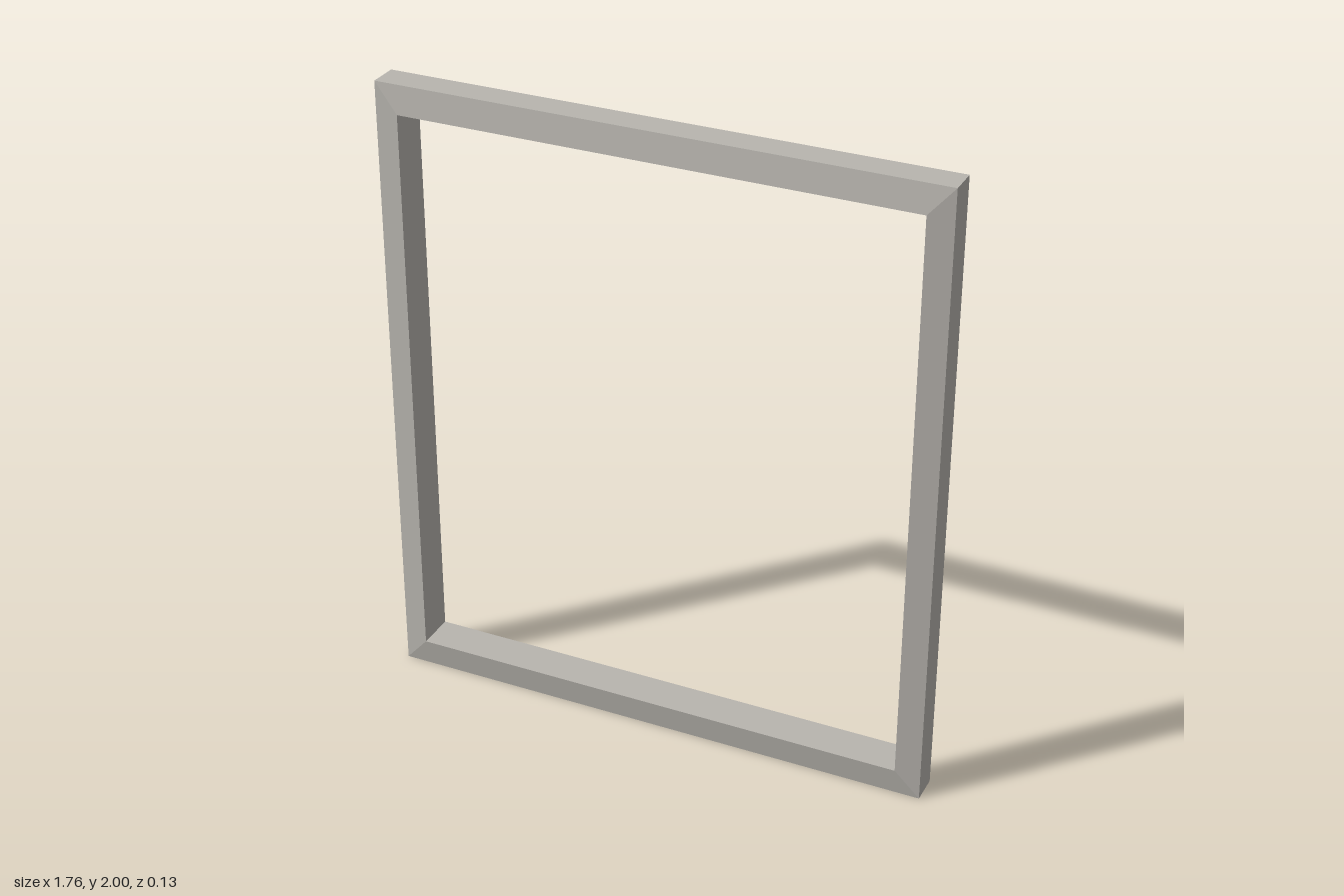
import * as THREE from 'three';

const HEIGHT = 2;
const OUTER = { x: 0.882, y: 1.0 };
const INNER = { x: 0.805, y: 0.912 };

// Four corners of a rectangle at depth z, anticlockwise seen from the front
function ring(size, z) {
  return [[-1, -1], [1, -1], [1, 1], [-1, 1]].map(
    ([sx, sy]) => [sx * size.x, HEIGHT / 2 + sy * size.y, z]);
}

// Flat mitred quads joining two rectangular rings
function band(name, from, to, material) {
  const positions = [];
  for (let i = 0; i < 4; i++) {
    const j = (i + 1) % 4;
    positions.push(...from[i], ...from[j], ...to[j], ...from[i], ...to[j], ...to[i]);
  }
  const geometry = new THREE.BufferGeometry();
  geometry.setAttribute('position', new THREE.Float32BufferAttribute(positions, 3));
  geometry.computeVertexNormals();
  const mesh = new THREE.Mesh(geometry, material);
  mesh.name = name;
  return mesh;
}

export function createModel() {
  const group = new THREE.Group();
  group.name = 'windowFrame';

  const grey = new THREE.MeshStandardMaterial({ color: 0xb8b5af, side: THREE.DoubleSide });
  grey.name = 'warm grey';

  const outerBack = ring(OUTER, -0.045);
  const outerFront = ring(OUTER, 0.05);
  const innerFront = ring(INNER, 0.063);
  const innerBack = ring(INNER, -0.063);

  // Thin sheet trim, hollow and open at the back
  group.add(
    band('outerRim', outerBack, outerFront, grey),
    band('slopedFrontFace', outerFront, innerFront, grey),
    band('innerLining', innerFront, innerBack, grey),
  );
  return group;
}
